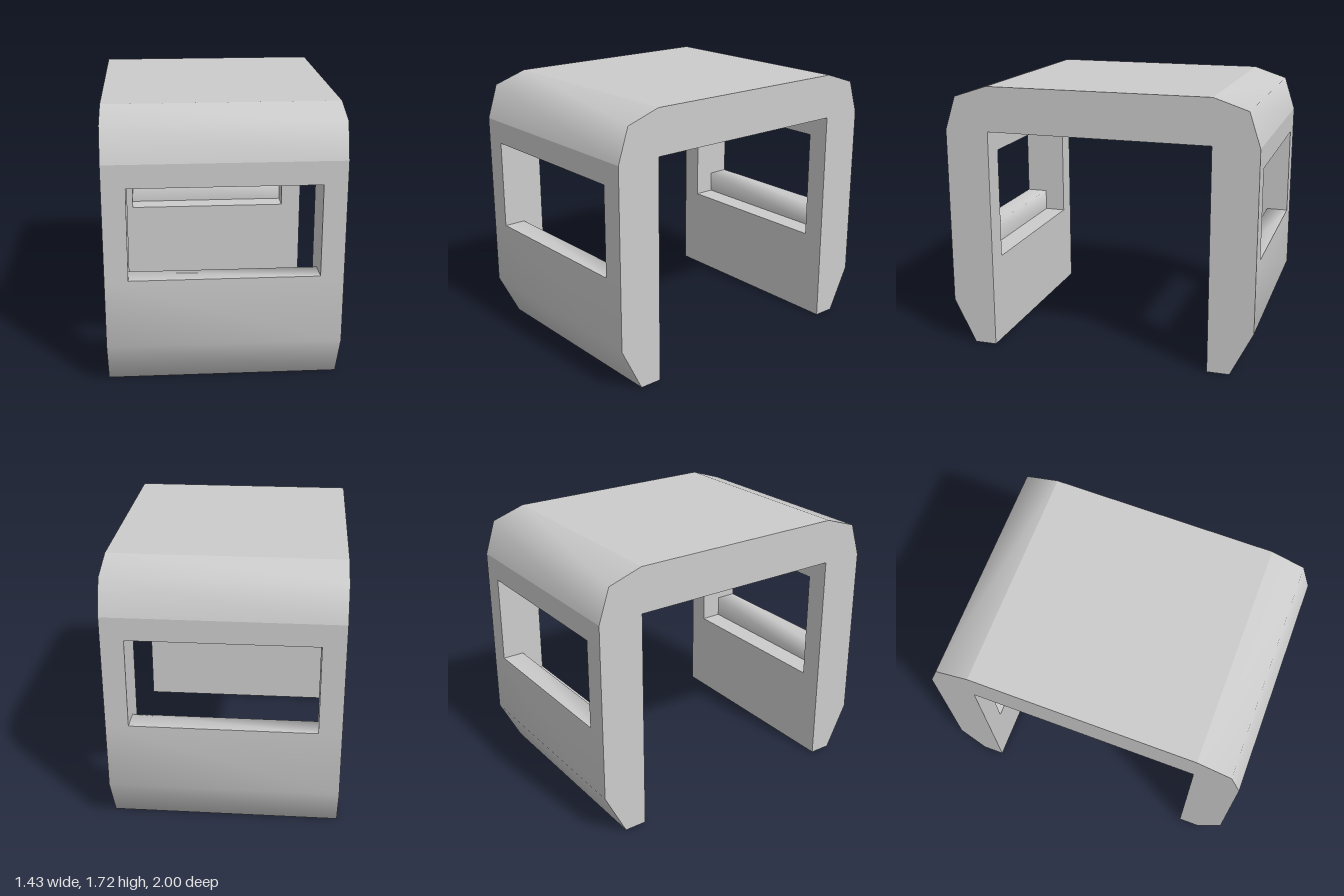
import * as THREE from 'three';
import { mergeGeometries } from 'three/addons/utils/BufferGeometryUtils.js';

const W = 0.714;   // half width, also half depth of the inside
const H = 0.572;   // half width of the window
const M = 0.857;   // middle of the wall thickness
const SILL = 0.572, LIP = 0.715, HEAD = 1.287, CEILING = 1.43, TOP = 1.716;

// Sheet swept along x over a [z, y] profile, smooth within one call
function skin(profile, x0 = -W, x1 = W) {
  const pos = [], index = [];
  profile.forEach(([z, y], i) => {
    pos.push(x0, y, z, x1, y, z);
    const a = i * 2;
    if (i) index.push(a - 2, a, a + 1, a - 2, a + 1, a - 1);
  });
  const g = new THREE.BufferGeometry();
  g.setAttribute('position', new THREE.Float32BufferAttribute(pos, 3));
  g.setIndex(index);
  g.computeVertexNormals();
  return g;
}

// Flat [z, y] outline at x, facing dir (+1 or -1) along x
function cap(outline, x, dir) {
  const shape = new THREE.Shape(outline.map(([z, y]) => new THREE.Vector2(-dir * z, y)));
  const g = new THREE.ShapeGeometry(shape);
  g.deleteAttribute('uv');
  return g.rotateY(dir * Math.PI / 2).translate(x, 0, 0);
}

export function createModel() {
  const group = new THREE.Group();
  const material = new THREE.MeshStandardMaterial({ color: 0xcccccc });
  const add = (parent, name, ...parts) => {
    const mesh = new THREE.Mesh(mergeGeometries(parts), material);
    mesh.name = name;
    parent.add(mesh);
  };

  // Roof slab: top and ceiling
  add(group, 'roof', skin([[-W, TOP], [W, TOP]]), skin([[W, CEILING], [-W, CEILING]]));

  // Arch-shaped side faces
  const half = [[W, CEILING], [W, 0], [M, 0], [1, 0.286], [1, CEILING], [0.93, 1.645], [W, TOP]];
  const arch = [...half, ...half.map(([z, y]) => [-z, y]).reverse()];
  add(group, 'sideFaces', cap(arch, W, 1), cap(arch, -W, -1));

  // Window section with a raised lip along the outer half of the sill
  const opening = [[W, SILL], [M, SILL], [M, LIP], [1, LIP], [1, HEAD], [W, HEAD]];

  // Front wall, and the same turned round for the back
  for (const name of ['frontWall', 'backWall']) {
    const wall = new THREE.Group();
    wall.name = name;
    if (name === 'backWall') wall.rotation.y = Math.PI;
    group.add(wall);

    add(wall, 'shoulder', skin([[W, TOP], [0.93, 1.645], [1, CEILING]]));
    add(wall, 'outerFace',
      skin([[1, CEILING], [1, HEAD]]),
      skin([[1, HEAD], [1, LIP]], -W, -H),
      skin([[1, HEAD], [1, LIP]], H, W),
      skin([[1, LIP], [1, 0.286], [M, 0], [W, 0]]));
    add(wall, 'innerFace',
      skin([[W, 0], [W, SILL]]),
      skin([[W, SILL], [W, HEAD]], -W, -H),
      skin([[W, SILL], [W, HEAD]], H, W),
      skin([[W, HEAD], [W, CEILING]]));
    add(wall, 'windowReveal',
      cap(opening, H, -1), cap(opening, -H, 1),
      skin([[1, HEAD], [W, HEAD]], -H, H),
      skin([[W, SILL], [M, SILL]], -H, H),
      skin([[M, SILL], [M, LIP], [1, LIP]], -H, H));
  }
  return group;
}
